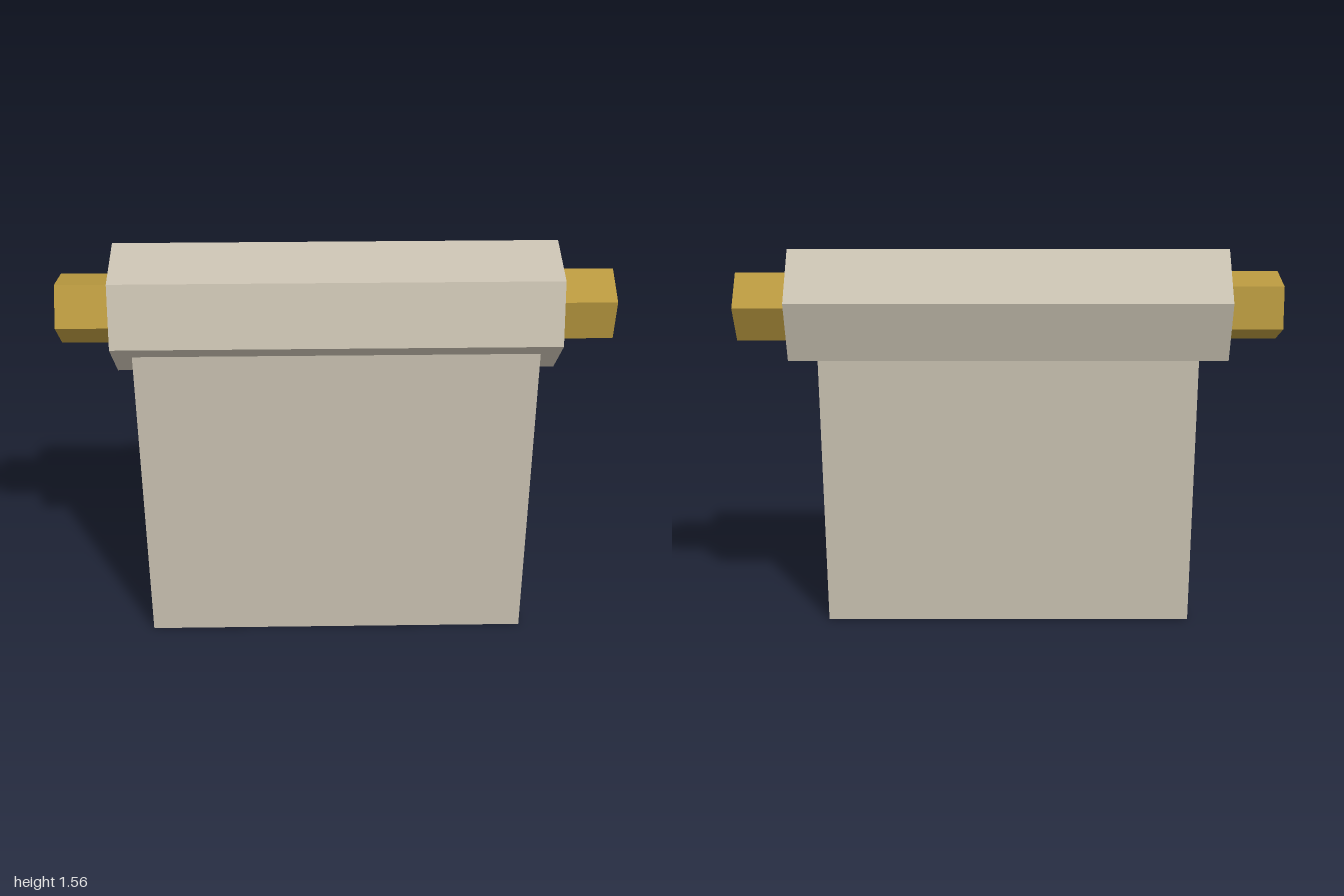
import * as THREE from 'three';

const cloth = new THREE.MeshStandardMaterial({ color: 0xc8c0b0 });
cloth.name = 'cream cloth';
const brass = new THREE.MeshStandardMaterial({ color: 0xb8983f });
brass.name = 'brass';

const AXIS_Y = 1.335;

// Faceted bar along x; angle places the first corner, measured from +z towards +y
function prism(name, material, sides, radius, x0, x1, angle) {
  const bar = new THREE.CylinderGeometry(radius, radius, x1 - x0, sides, 1, false, -THREE.MathUtils.degToRad(angle));
  bar.rotateZ(-Math.PI / 2);
  const geometry = bar.toNonIndexed();
  geometry.computeVertexNormals();
  const mesh = new THREE.Mesh(geometry, material);
  mesh.name = name;
  mesh.position.set((x0 + x1) / 2, AXIS_Y, 0);
  return mesh;
}

export function createModel() {
  const model = new THREE.Group();
  model.name = 'hangingScroll';

  // Six-sided roll with a five-sided knob on each end
  model.add(prism('roll', cloth, 6, 0.233, -0.8, 0.8, 45));
  model.add(prism('leftKnob', brass, 5, 0.132, 0.8, 1, 27));
  model.add(prism('rightKnob', brass, 5, 0.132, -1, -0.8, 63));

  // Hanging sheet, its top tucked inside the roll
  const sheet = new THREE.Mesh(new THREE.BoxGeometry(1.46, AXIS_Y, 0.068), cloth);
  sheet.name = 'sheet';
  sheet.position.set(0, AXIS_Y / 2, 0.136);
  model.add(sheet);

  return model;
}
